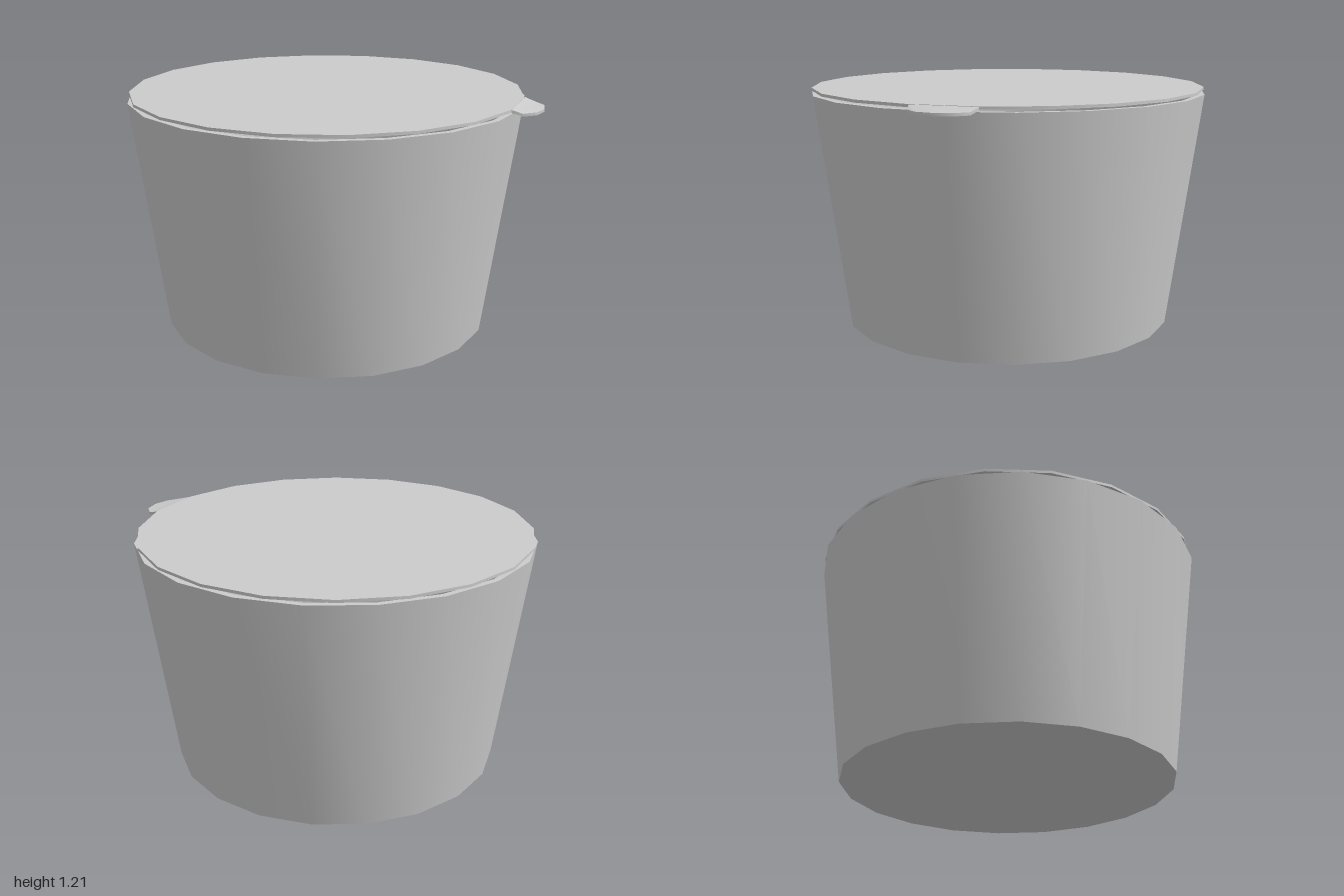
import * as THREE from 'three';
import { toCreasedNormals } from 'three/addons/utils/BufferGeometryUtils.js';

const SIDES = 20;

export function createModel() {
  const group = new THREE.Group();
  const material = new THREE.MeshStandardMaterial({ color: 0xcccccc, side: THREE.DoubleSide });
  const add = (name, geometry) => {
    const mesh = new THREE.Mesh(geometry, material);
    mesh.name = name;
    group.add(mesh);
    return mesh;
  };

  // Tapered tub: floor, outer wall, rim, inner wall and inner floor
  const profile = [[0, 0], [0.84, 0], [1, 1.18], [0.97, 1.18], [0.815, 0.03], [0, 0.03]]
    .map(([r, y]) => new THREE.Vector2(r, y));
  const tub = new THREE.LatheGeometry(profile, SIDES, THREE.MathUtils.degToRad(10));
  add('tub', toCreasedNormals(tub, 0.4)).position.x = -0.007;

  // Thin lid, turned against the facets of the tub
  const lid = add('lid', new THREE.CylinderGeometry(0.992, 0.992, 0.014, SIDES));
  lid.position.set(-0.007, 1.198, 0);

  // Pull tab: rounded outline in x and z, bent down past the lid edge
  const outline = [[0.79, -0.595], [0.85, -0.605], [0.92, -0.578], [0.975, -0.508],
    [0.998, -0.425], [0.975, -0.35], [0.935, -0.312]];
  const shape = new THREE.Shape(outline.map(([x, z]) => new THREE.Vector2(x, -z)));
  const tab = new THREE.ExtrudeGeometry(shape, { depth: 0.014, bevelEnabled: false });
  tab.rotateX(-Math.PI / 2);
  const p = tab.attributes.position;
  for (let i = 0; i < p.count; i++) {
    const outside = Math.hypot(p.getX(i), p.getZ(i)) - 0.985;
    const drop = 0.017 * THREE.MathUtils.clamp(outside / 0.05, 0, 1);
    p.setY(i, p.getY(i) + 1.19 - drop);
  }
  add('pullTab', toCreasedNormals(tab, 0.6));

  return group;
}
